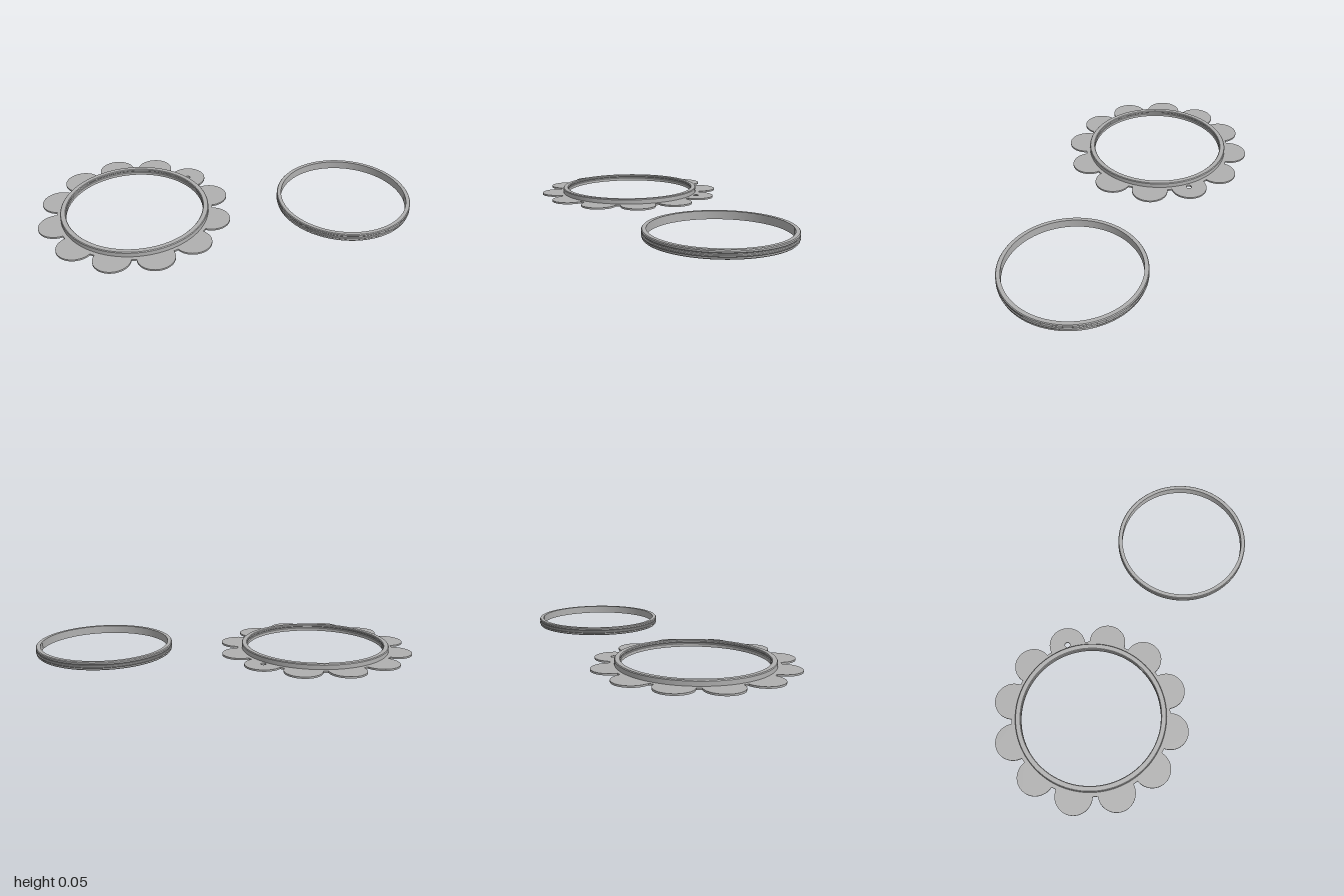
import * as THREE from 'three';
import { toCreasedNormals } from 'three/addons/utils/BufferGeometryUtils.js';

const PETALS = 12;
const PETAL_R = 0.115;   // petal circle radius
const PETAL_DIST = 0.5;  // petal centre to flower centre
const BASE_R = 0.495;    // bottom of the notches between petals
const INNER_R = 0.435;
const PLATE = 0.011;

// Scalloped outline: petal arcs joined by short arcs of the base disc
function flowerShape() {
  const cosT = (BASE_R ** 2 - PETAL_DIST ** 2 - PETAL_R ** 2) / (2 * PETAL_DIST * PETAL_R);
  const t = Math.acos(cosT);
  const points = [];
  for (let i = 0; i < PETALS; i++) {
    const a = (i / PETALS) * Math.PI * 2;
    const cx = PETAL_DIST * Math.cos(a), cy = PETAL_DIST * Math.sin(a);
    for (let j = 0; j <= 32; j++) {
      const b = a - t + (2 * t * j) / 32;
      points.push(new THREE.Vector2(cx + PETAL_R * Math.cos(b), cy + PETAL_R * Math.sin(b)));
    }
    const mid = a + Math.PI / PETALS;
    points.push(new THREE.Vector2(BASE_R * Math.cos(mid), BASE_R * Math.sin(mid)));
  }
  const shape = new THREE.Shape(points);
  // Large opening and the small hanging hole in the rear petal
  shape.holes.push(new THREE.Path().absarc(0, 0, INNER_R, 0, Math.PI * 2, true));
  shape.holes.push(new THREE.Path().absarc(0, PETAL_DIST, 0.017, 0, Math.PI * 2, true));
  return shape;
}

function ring(profile, name, material) {
  const points = profile.map(([r, y]) => new THREE.Vector2(r, y));
  const geometry = toCreasedNormals(new THREE.LatheGeometry(points, 128), 0.4);
  const mesh = new THREE.Mesh(geometry, material);
  mesh.name = name;
  return mesh;
}

export function createModel() {
  const grey = new THREE.MeshStandardMaterial({ color: 0xb0b0b0 });
  grey.name = 'plain grey';

  const model = new THREE.Group();
  model.name = 'flowerFrame';

  // Flower frame: flat petal plate with a raised rim
  const frame = new THREE.Group();
  frame.name = 'petalFrame';
  frame.position.set(-0.385, 0, 0.385);

  const plateGeometry = new THREE.ExtrudeGeometry(flowerShape(), {
    depth: PLATE, bevelEnabled: false, curveSegments: 64,
  });
  plateGeometry.rotateX(-Math.PI / 2);
  const plate = new THREE.Mesh(toCreasedNormals(plateGeometry, 0.4), grey);
  plate.name = 'petalPlate';

  // Rim with a bevelled top and a shallow snap groove inside
  const rim = ring([
    [0.47, PLATE], [0.47, 0.038], [0.466, 0.043], [0.439, 0.043], [INNER_R, 0.039],
    [INNER_R, 0.031], [0.439, 0.027], [0.439, 0.023], [INNER_R, 0.019], [INNER_R, PLATE],
  ], 'raisedRim', grey);
  frame.add(plate, rim);

  // Separate insert ring with a grooved outer wall
  const insert = ring([
    [0.402, 0], [0.422, 0], [0.426, 0.004], [0.426, 0.013], [0.43, 0.017],
    [0.43, 0.023], [0.426, 0.027], [0.426, 0.033], [0.429, 0.037], [0.429, 0.046],
    [0.425, 0.051], [0.402, 0.051], [0.402, 0],
  ], 'insertRing', grey);
  insert.position.set(0.57, 0, -0.57);

  model.add(frame, insert);
  return model;
}
